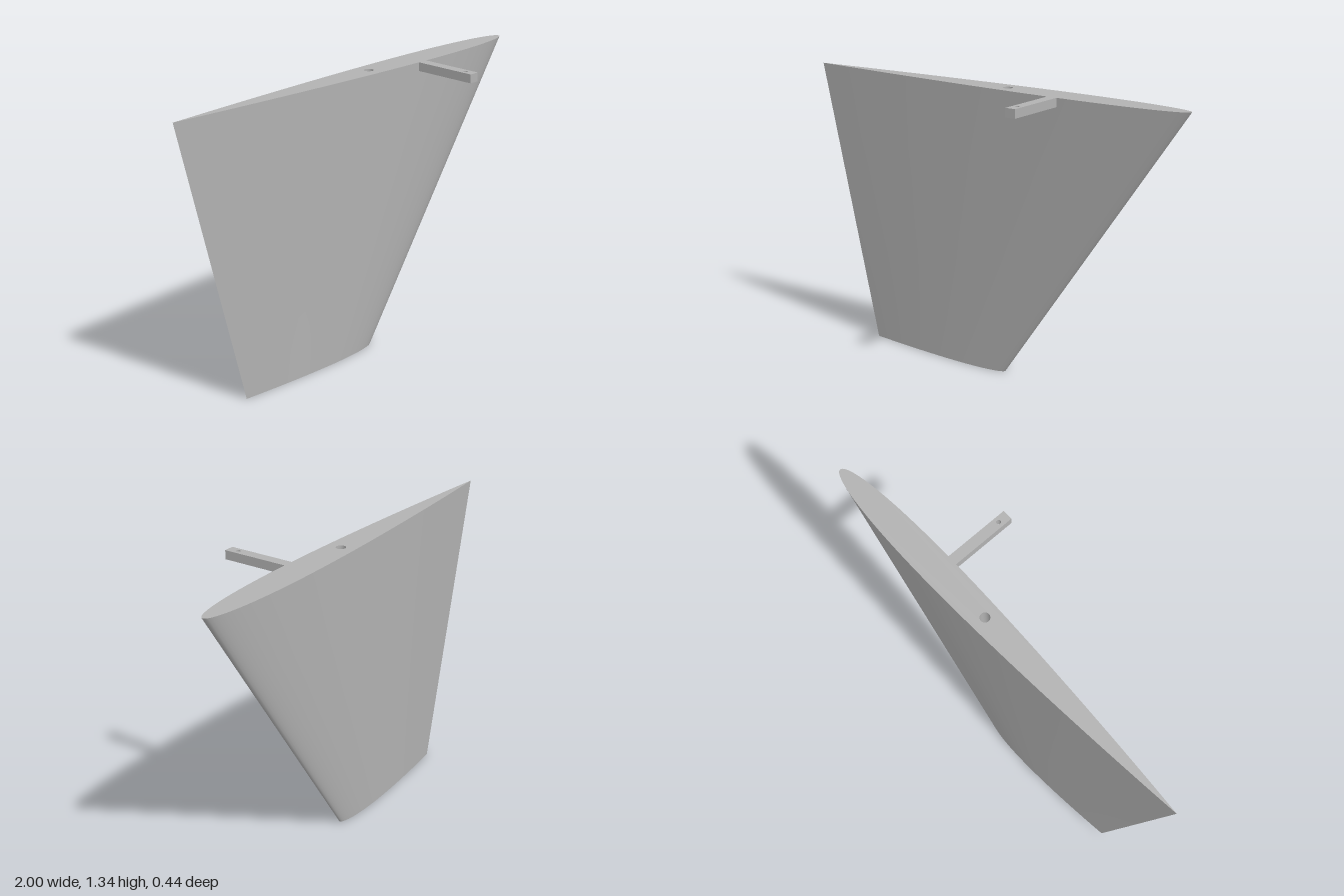
import * as THREE from 'three';

const HEIGHT = 1.335, MID_Z = -0.152;
const N = 40, ROWS = 4;

// Symmetric foil half-thickness along the chord, t = 0 at the leading edge
const foil = t => 5 * (0.2969 * Math.sqrt(t) - 0.126 * t - 0.3516 * t * t + 0.2843 * t ** 3 - 0.1036 * t ** 4);

// Open loop [x, z]: trailing edge, front side, leading edge, back side, trailing edge
function section(v) {
  const trail = THREE.MathUtils.lerp(-0.68, -1, v);
  const lead = THREE.MathUtils.lerp(0.092, 1, v);
  const thick = THREE.MathUtils.lerp(0.07, 0.14, v);
  const pts = [];
  for (let i = 0; i <= 2 * N; i++) {
    const a = (Math.PI * i) / N;
    const t = (1 + Math.cos(a)) / 2;
    const half = Math.max(0, foil(t)) * thick;
    pts.push([lead + (trail - lead) * t, MID_Z + (i <= N ? half : -half)]);
  }
  return pts;
}

function bladeSkin() {
  const pos = [], idx = [], w = 2 * N + 1;
  for (let j = 0; j <= ROWS; j++) {
    for (const [x, z] of section(j / ROWS)) pos.push(x, (HEIGHT * j) / ROWS, z);
  }
  for (let j = 0; j < ROWS; j++) {
    for (let i = 0; i < w - 1; i++) {
      const a = j * w + i, b = a + 1, c = b + w, d = a + w;
      idx.push(a, b, c, a, c, d);
    }
  }
  const g = new THREE.BufferGeometry();
  g.setAttribute('position', new THREE.Float32BufferAttribute(pos, 3));
  g.setIndex(idx);
  g.computeVertexNormals();
  return g;
}

// Section outline as a flat shape, sign chooses which way z maps to shape y
function sectionShape(v, sign) {
  return new THREE.Shape(section(v).slice(0, -1).map(([x, z]) => new THREE.Vector2(x, sign * z)));
}

function circleHole(x, y, r) {
  const p = new THREE.Path();
  p.absarc(x, y, r, 0, Math.PI * 2, true);
  return p;
}

export function createModel() {
  const group = new THREE.Group();
  const grey = new THREE.MeshStandardMaterial({ color: 0xb2b2b2 });
  grey.name = 'grey';
  grey.side = THREE.DoubleSide;

  const add = (name, geometry) => {
    const m = new THREE.Mesh(geometry, grey);
    m.name = name;
    group.add(m);
    return m;
  };

  add('bladeSkin', bladeSkin());

  // Top face with the shaft hole
  const holeX = 0.095, holeR = 0.022, holeDepth = 0.5;
  const top = sectionShape(1, -1);
  top.holes.push(circleHole(holeX, -MID_Z, holeR));
  add('bladeTop', new THREE.ShapeGeometry(top, 16).rotateX(-Math.PI / 2).translate(0, HEIGHT, 0));

  // Tip face
  add('bladeTip', new THREE.ShapeGeometry(sectionShape(0, 1)).rotateX(Math.PI / 2));

  // Blind shaft bore
  add('shaftBore', new THREE.CylinderGeometry(holeR, holeR, holeDepth, 32, 1, true))
    .position.set(holeX, HEIGHT - holeDepth / 2, MID_Z);
  add('shaftBoreFloor', new THREE.CircleGeometry(holeR, 32).rotateX(-Math.PI / 2))
    .position.set(holeX, HEIGHT - holeDepth, MID_Z);

  // Control arm with a drilled link hole near its end
  const armX = 0.372, armHalf = 0.024, armH = 0.04;
  const arm = new THREE.Shape([
    new THREE.Vector2(armX - armHalf, -0.222),
    new THREE.Vector2(armX + armHalf, -0.222),
    new THREE.Vector2(armX + armHalf, 0.086),
    new THREE.Vector2(armX - armHalf, 0.086),
  ]);
  arm.holes.push(circleHole(armX, -0.172, 0.01));
  add('controlArm', new THREE.ExtrudeGeometry(arm, { depth: armH, bevelEnabled: false, curveSegments: 12 })
    .rotateX(-Math.PI / 2).translate(0, HEIGHT - armH, 0));

  return group;
}
